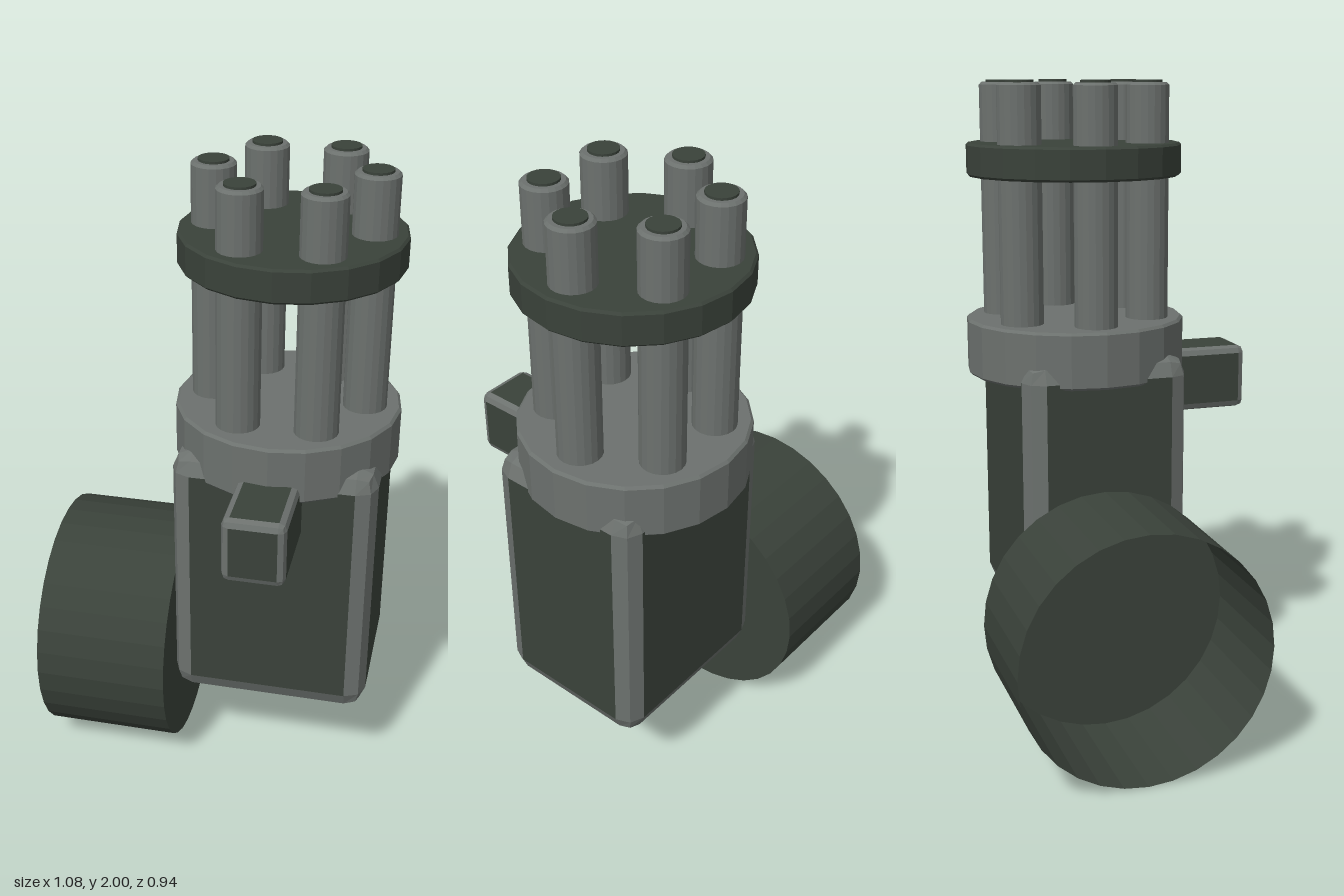
import * as THREE from 'three';
import { RoundedBoxGeometry } from 'three/addons/geometries/RoundedBoxGeometry.js';

const darkGreen = new THREE.MeshStandardMaterial({ color: 0x3a423a, side: THREE.DoubleSide });
darkGreen.name = 'dark green metal';
const grey = new THREE.MeshStandardMaterial({ color: 0x6c716e });
grey.name = 'grey metal';

// centre axis of the barrel cluster
const CX = 0.193, CZ = -0.085;

// gives each face its own normal
function faceted(geometry) {
  const g = geometry.index ? geometry.toNonIndexed() : geometry;
  g.computeVertexNormals();
  return g;
}

function addMesh(parent, name, geometry, material, x = 0, y = 0, z = 0) {
  const mesh = new THREE.Mesh(geometry, material);
  mesh.name = name;
  mesh.position.set(x, y, z);
  parent.add(mesh);
  return mesh;
}

// box with dark flat panels and grey bevelled edges
function panelBox(w, h, d, bevel) {
  const g = faceted(new RoundedBoxGeometry(w, h, d, 1, bevel));
  const n = g.attributes.normal;
  g.clearGroups();
  for (let i = 0; i < n.count; i += 3) {
    const flat = Math.max(Math.abs(n.getX(i)), Math.abs(n.getY(i)), Math.abs(n.getZ(i))) > 0.999;
    g.addGroup(i, 3, flat ? 0 : 1);
  }
  return g;
}

// upright disc with slightly bevelled rims
function bevelDisc(radius, y0, y1, bevel, sides) {
  const points = [
    [0, y0], [radius - bevel, y0], [radius, y0 + bevel],
    [radius, y1 - bevel], [radius - bevel, y1], [0, y1],
  ].map(([r, y]) => new THREE.Vector2(r, y));
  return faceted(new THREE.LatheGeometry(points, sides));
}

export function createModel() {
  const model = new THREE.Group();
  model.name = 'rotaryGun';

  // main housing and the front grip block
  addMesh(model, 'housing', panelBox(0.62, 0.865, 0.52, 0.062), [darkGreen, grey], CX, 0.748, -0.065);
  addMesh(model, 'frontBlock', panelBox(0.187, 0.205, 0.4, 0.023), [darkGreen, grey], CX, 1.053, 0.267);

  // collar and barrel clamp
  addMesh(model, 'collar', bevelDisc(0.343, 1.1, 1.275, 0.008, 20), grey, CX, 0, CZ);
  addMesh(model, 'barrelClamp', bevelDisc(0.333, 1.713, 1.813, 0.007, 20), darkGreen, CX, 0, CZ);

  // six barrels with dark muzzles
  const barrelGeometry = bevelDisc(0.066, 1.25, 1.993, 0.008, 20);
  const muzzleGeometry = faceted(new THREE.CylinderGeometry(0.045, 0.045, 0.009, 20));
  for (let i = 0; i < 6; i++) {
    const a = (i * Math.PI) / 3;
    const x = CX + 0.232 * Math.cos(a);
    const z = CZ + 0.232 * Math.sin(a);
    addMesh(model, 'barrel', barrelGeometry, grey, x, 0, z);
    addMesh(model, 'muzzle', muzzleGeometry, darkGreen, x, 1.9955, z);
  }

  // ammunition drum, open on its outer end
  const drum = new THREE.Group();
  drum.name = 'ammunitionDrum';
  drum.position.set(-0.33, 0.388, CZ);
  const wall = faceted(new THREE.CylinderGeometry(0.387, 0.387, 0.418, 32, 1, true));
  addMesh(drum, 'drumWall', wall, darkGreen).rotation.z = Math.PI / 2;
  const cap = addMesh(drum, 'drumCap', new THREE.CircleGeometry(0.387, 32), darkGreen, 0.209);
  cap.rotation.y = Math.PI / 2;
  model.add(drum);

  return model;
}
